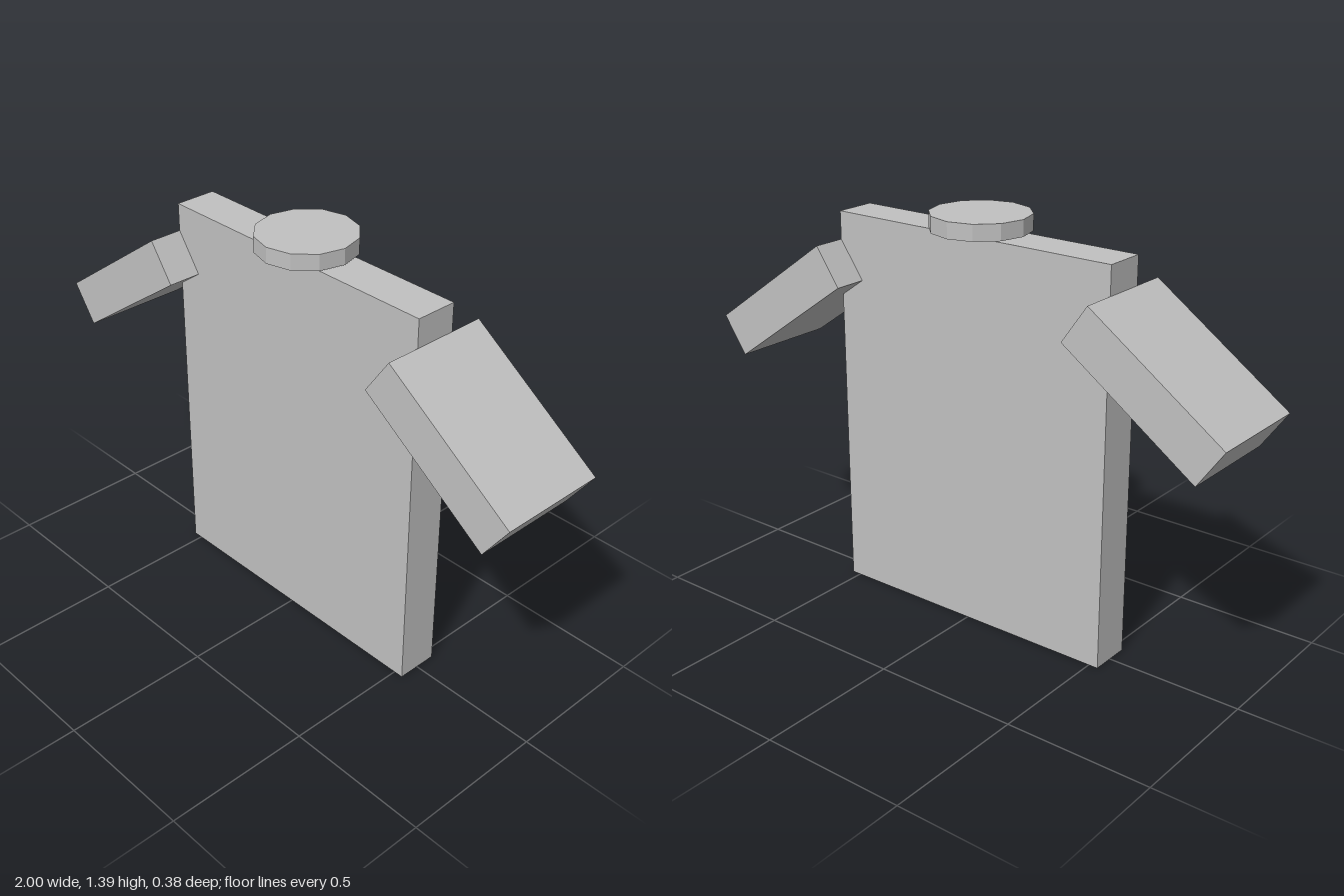
import * as THREE from 'three';

const fabric = new THREE.MeshStandardMaterial({ color: 0xc0c0c0, flatShading: true });
fabric.name = 'light grey fabric';

export function createModel() {
  const shirt = new THREE.Group();
  shirt.name = 'shirt';

  const addPart = (name, geometry, x, y, tilt = 0) => {
    const mesh = new THREE.Mesh(geometry, fabric);
    mesh.name = name;
    mesh.position.set(x, y, 0);
    mesh.rotation.z = tilt;
    shirt.add(mesh);
  };

  // Flat torso slab
  addPart('torso', new THREE.BoxGeometry(1.066, 1.333, 0.144), 0, 0.6665);

  // Sleeves, sloping down and outwards
  const sleeve = new THREE.BoxGeometry(0.57, 0.155, 0.376);
  const slope = THREE.MathUtils.degToRad(35);
  for (const [name, side] of [['leftSleeve', 1], ['rightSleeve', -1]]) {
    addPart(name, sleeve, side * 0.7215, 1.011, -side * slope);
  }

  // Twelve-sided collar disc, just clear of the torso
  addPart('collar', new THREE.CylinderGeometry(0.165, 0.165, 0.054, 12), 0, 1.368);

  return shirt;
}
